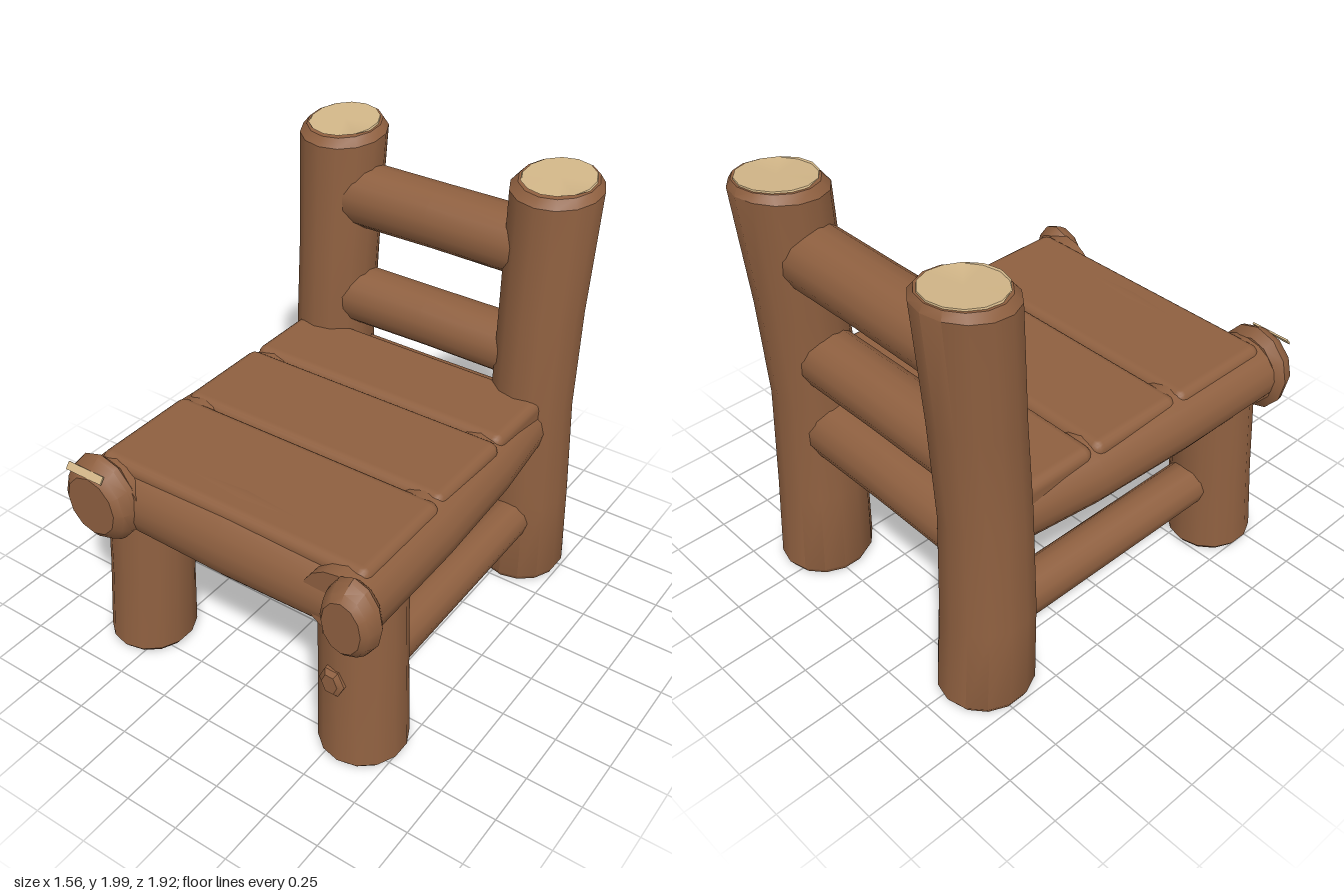
import * as THREE from 'three';
import { toCreasedNormals } from 'three/addons/utils/BufferGeometryUtils.js';
import { RoundedBoxGeometry } from 'three/addons/geometries/RoundedBoxGeometry.js';

// Log along an axis; each ring is [t, cu, cv, ru, rv].
// (u, v) is (z, x) for axis y, (y, z) for axis x and (x, y) for axis z.
function logGeometry(axis, rings, sides = 14, slope = 0) {
  const place = { x: (t, u, v) => [t, u, v], y: (t, u, v) => [v, t, u], z: (t, u, v) => [u, v, t] }[axis];
  const pos = [], idx = [];
  rings.forEach(([t, cu, cv, ru, rv = ru], i) => {
    const tilt = i >= rings.length / 2 ? slope : 0;
    for (let j = 0; j < sides; j++) {
      const a = (j / sides) * Math.PI * 2;
      const u = Math.cos(a) * ru;
      pos.push(...place(t + tilt * u, cu + u, cv + Math.sin(a) * rv));
    }
  });
  for (let i = 0; i < rings.length - 1; i++) {
    for (let j = 0; j < sides; j++) {
      const k = (j + 1) % sides;
      const a = i * sides + j, b = i * sides + k, c = a + sides, d = b + sides;
      idx.push(a, b, d, a, d, c);
    }
  }
  // End caps
  const first = rings[0], last = rings[rings.length - 1];
  const n = rings.length * sides, top = n - sides;
  pos.push(...place(first[0], first[1], first[2]), ...place(last[0], last[1], last[2]));
  for (let j = 0; j < sides; j++) {
    const k = (j + 1) % sides;
    idx.push(n, k, j, n + 1, top + j, top + k);
  }
  const g = new THREE.BufferGeometry();
  g.setAttribute('position', new THREE.Float32BufferAttribute(pos, 3));
  g.setIndex(idx);
  return toCreasedNormals(g, 0.6);
}

export function createModel() {
  const group = new THREE.Group();
  group.name = 'logChair';
  const bark = new THREE.MeshStandardMaterial({ color: 0x8f6040 });
  bark.name = 'bark';
  const cutWood = new THREE.MeshStandardMaterial({ color: 0xd2b688 });
  cutWood.name = 'cutWood';

  const add = (name, geometry, material = bark) => {
    const m = new THREE.Mesh(geometry, material);
    m.name = name;
    group.add(m);
    return m;
  };

  for (const s of [1, -1]) {
    const side = s > 0 ? 'left' : 'right';

    // Back post, leaning back above the seat, with a pale cut top
    add(side + 'BackPost', logGeometry('y', [
      [0.01, -0.715, s * 0.55, 0.195, 0.185],
      [0.04, -0.715, s * 0.55, 0.215, 0.2],
      [0.45, -0.7, s * 0.55, 0.203, 0.195],
      [0.95, -0.695, s * 0.54, 0.19, 0.185],
      [1.4, -0.722, s * 0.535, 0.19, 0.187],
      [1.94, -0.76, s * 0.535, 0.2, 0.2],
      [1.975, -0.767, s * 0.537, 0.175, 0.17],
    ], 14, -0.1));
    add(side + 'PostTop', logGeometry('y', [
      [1.973, -0.767, s * 0.537, 0.17, 0.16],
      [1.982, -0.767, s * 0.537, 0.165, 0.155],
    ], 14, -0.1), cutWood);

    // Front leg
    add(side + 'FrontLeg', logGeometry('y', [
      [0.01, 0.685, s * 0.58, 0.175, 0.17],
      [0.035, 0.685, s * 0.58, 0.195, 0.19],
      [0.4, 0.67, s * 0.565, 0.187, 0.183],
      [0.85, 0.655, s * 0.55, 0.183, 0.178],
    ]));

    // Side seat rail, splayed towards the front
    add(side + 'SeatRail', logGeometry('z', [
      [-0.66, s * 0.5, 0.86, 0.165, 0.155],
      [-0.2, s * 0.553, 0.862, 0.165, 0.157],
      [0.3, s * 0.575, 0.865, 0.168, 0.16],
      [0.87, s * 0.58, 0.865, 0.168, 0.155],
    ], 16));

    // Lower side stretcher
    add(side + 'Stretcher', logGeometry('z', [
      [-0.65, s * 0.55, 0.362, 0.105],
      [0.65, s * 0.56, 0.362, 0.105],
    ], 12));
  }

  // Rounded log ends at the front: x, width radius, height radius
  for (const [name, x, w, h] of [['rightLogEnd', -0.602, 0.18, 0.21], ['leftLogEnd', 0.652, 0.127, 0.185]]) {
    add(name, logGeometry('z', [
      [0.83, x, 0.86, w * 0.8, h * 0.8],
      [0.865, x, 0.86, w, h],
      [0.89, x, 0.86, w * 0.98, h * 0.96],
      [0.93, x, 0.86, w * 0.88, h * 0.82],
      [0.955, x, 0.86, w * 0.7, h * 0.66],
    ], 12));
  }

  // Pale worn patch on the larger log end
  const patch = add('wornPatch', new THREE.BoxGeometry(0.19, 0.035, 0.008), cutWood);
  patch.position.set(-0.625, 1.014, 0.942);
  patch.rotation.x = -0.68;

  // Knot on the left front leg
  add('legKnot', logGeometry('z', [
    [0.8, 0.54, 0.44, 0.065, 0.075],
    [0.858, 0.54, 0.44, 0.06, 0.073],
    [0.875, 0.54, 0.44, 0.038, 0.05],
  ], 6));

  // Back rails: y, z, radius
  for (const [name, y, z, r] of [
    ['topBackRail', 1.665, -0.73, 0.148],
    ['middleBackRail', 1.165, -0.705, 0.137],
    ['lowerBackRail', 0.79, -0.69, 0.148],
  ]) {
    add(name, logGeometry('x', [
      [-0.52, y, z, r], [0, y + 0.002, z, r * 0.98], [0.52, y, z, r],
    ]));
  }

  // Front seat beam
  add('frontBeam', logGeometry('x', [
    [-0.62, 0.84, 0.695, 0.185, 0.19],
    [0, 0.838, 0.697, 0.197, 0.195],
    [0.62, 0.84, 0.695, 0.185, 0.19],
  ], 18));

  // Seat underside
  const core = add('seatBase', new THREE.BoxGeometry(1.1, 0.24, 1.32));
  core.position.set(0, 0.835, 0.02);

  // Three seat planks: back edge, front edge, width
  for (const [z0, z1, w] of [[-0.62, -0.202, 1.3], [-0.202, 0.282, 1.32], [0.282, 0.82, 1.34]]) {
    const plank = add('seatPlank', new RoundedBoxGeometry(w, 0.14, z1 - z0, 2, 0.045));
    plank.position.set(0, 0.96, (z0 + z1) / 2);
  }

  return group;
}
